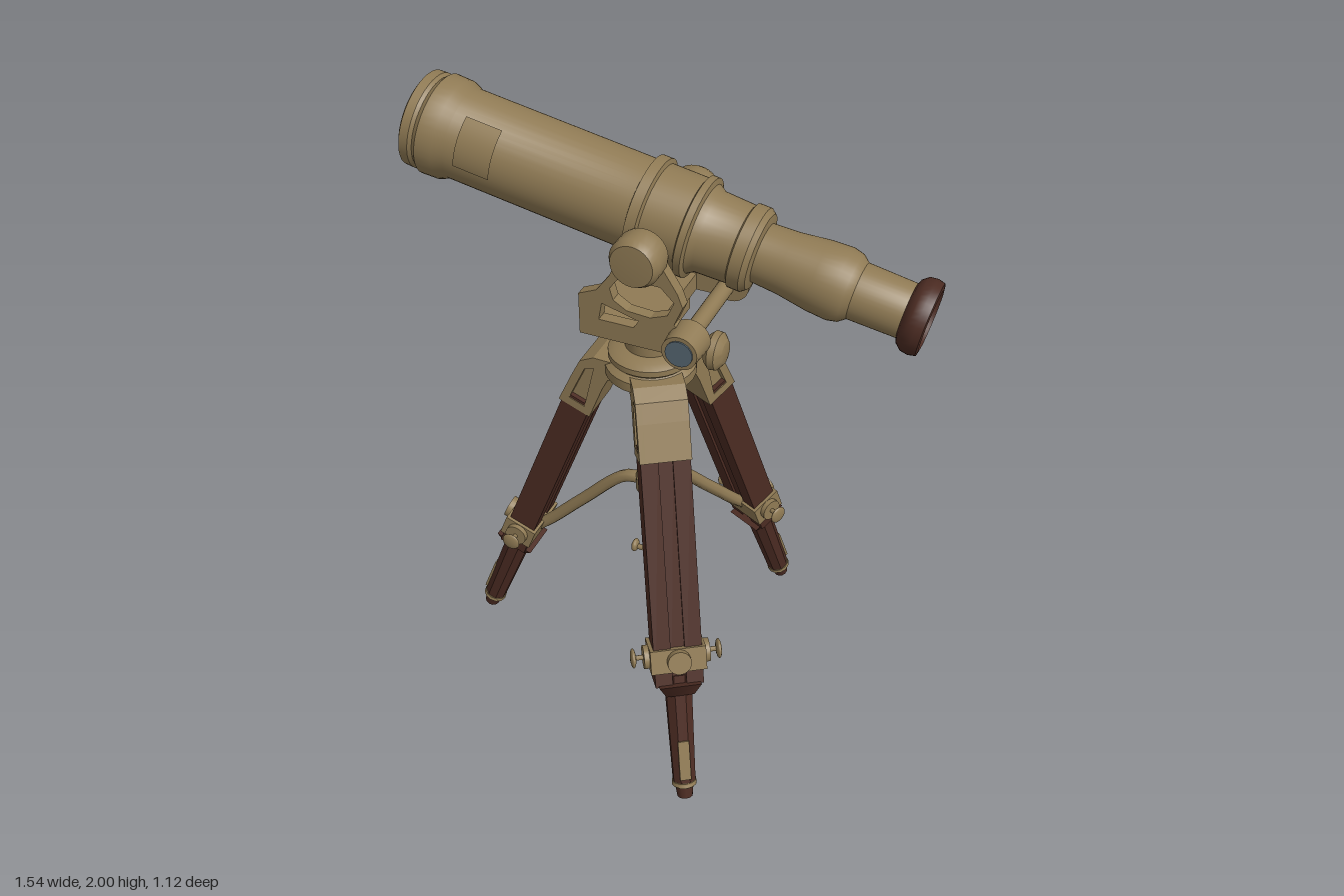
import * as THREE from 'three';
import { toCreasedNormals } from 'three/addons/utils/BufferGeometryUtils.js';

const makeMaterial = (name, color) => {
  const m = new THREE.MeshStandardMaterial({ color, side: THREE.DoubleSide });
  m.name = name;
  return m;
};

export function createModel() {
  const brass = makeMaterial('brass', 0x8f7a54);
  const wood = makeMaterial('dark wood', 0x4b2b22);
  const glass = makeMaterial('blue grey glass', 0x566672);
  const model = new THREE.Group();
  model.name = 'telescopeOnTripod';

  const add = (parent, name, geo, mat, x = 0, y = 0, z = 0) => {
    const mesh = new THREE.Mesh(geo, mat);
    mesh.name = name;
    mesh.position.set(x, y, z);
    parent.add(mesh);
    return mesh;
  };
  const group = (parent, name, x = 0, y = 0, z = 0) => {
    const g = new THREE.Group();
    g.name = name;
    g.position.set(x, y, z);
    parent.add(g);
    return g;
  };
  const box = (w, h, d) => new THREE.BoxGeometry(w, h, d);
  const cyl = (r1, r2, h, n = 24) => new THREE.CylinderGeometry(r1, r2, h, n);
  const lathe = (pts, n = 40) => toCreasedNormals(
    new THREE.LatheGeometry(pts.map(([r, y]) => new THREE.Vector2(r, y)), n), 0.6);
  const outline = (pts) => pts.map(([x, y]) => new THREE.Vector2(x, y));
  // plate cut from an outline with holes, centred on its thickness
  const plate = (shape, depth) => new THREE.ExtrudeGeometry(shape,
    { depth, bevelEnabled: false, curveSegments: 16 }).translate(0, 0, -depth / 2);

  // ---- Telescope, built along +y and tipped towards +x ----
  const scope = group(model, 'telescope', 0, 1.722, 0);
  scope.rotation.z = -(Math.PI / 2 + 0.19);
  add(scope, 'mainTube', lathe([
    [0.108, -0.68], [0.112, -0.752], [0.125, -0.76], [0.139, -0.752], [0.14, -0.725],
    [0.133, -0.715], [0.146, -0.7], [0.144, -0.65], [0.131, -0.62], [0.131, -0.07],
    [0.147, -0.065], [0.147, -0.035], [0.134, -0.03], [0.134, 0.08], [0.144, 0.085],
    [0.144, 0.105], [0.128, 0.11], [0.116, 0.13], [0.112, 0.225],
    [0.12, 0.23], [0.12, 0.265], [0.108, 0.28],
  ]), brass);
  add(scope, 'drawTube', lathe([
    [0.108, 0.28], [0.084, 0.285], [0.088, 0.36], [0.1, 0.45], [0.103, 0.51], [0.096, 0.54],
    [0.08, 0.56], [0.077, 0.72], [0.066, 0.745], [0.06, 0.66], [0.045, 0.65], [0.0, 0.65],
  ]), brass);
  add(scope, 'eyepieceRing', lathe([
    [0.077, 0.7], [0.09, 0.705], [0.104, 0.722], [0.107, 0.745], [0.102, 0.765],
    [0.085, 0.768], [0.072, 0.745], [0.066, 0.72],
  ]), wood);
  add(scope, 'objectiveLens', cyl(0.112, 0.112, 0.008, 40), glass, 0, -0.69, 0);
  // thin raised cover on the side of the tube
  add(scope, 'tubeCover', new THREE.CylinderGeometry(0.135, 0.135, 0.11, 16, 1, true,
    -0.95, 1.1), brass, 0, -0.53, 0);

  // ---- Fork mount ----
  const mount = group(model, 'forkMount');
  const forkShape = new THREE.Shape(outline([
    [-0.185, 1.4], [0.12, 1.4], [0.15, 1.45], [0.1, 1.5], [0.125, 1.56], [0.11, 1.6],
    [0.06, 1.68], [0.04, 1.74], [-0.04, 1.74], [-0.06, 1.68], [-0.09, 1.61],
    [-0.13, 1.555], [-0.185, 1.53],
  ]));
  forkShape.holes.push(
    new THREE.Path(outline([[-0.09, 1.57], [-0.06, 1.61], [0.06, 1.61], [0.1, 1.57],
      [0.08, 1.525], [0.03, 1.505], [-0.04, 1.51], [-0.08, 1.535]])),
    new THREE.Path(outline([[-0.125, 1.46], [-0.115, 1.515], [-0.005, 1.485], [-0.02, 1.46]])));
  const forkGeo = plate(forkShape, 0.035);
  for (const s of [-1, 1]) {
    add(mount, 'forkPlate', forkGeo, brass, 0, 0, s * 0.165);
    const bearing = add(mount, 'bearing', lathe([[0, 0.12], [0.03, 0.12], [0.035, 0.15],
      [0.07, 0.15], [0.074, 0.165], [0.074, 0.215], [0.062, 0.236], [0, 0.24]], 28),
      brass, 0, 1.69, 0);
    bearing.rotation.x = s * Math.PI / 2;
    const knob = add(mount, 'tiltKnob', cyl(0.052, 0.058, 0.085), brass, 0.135, 1.447, s * 0.188);
    knob.rotation.x = s * Math.PI / 2;
    const cap = add(mount, 'tiltKnobCap', cyl(0.04, 0.04, 0.006), glass, 0.135, 1.447, s * 0.232);
    cap.rotation.x = Math.PI / 2;
  }
  add(mount, 'forkBase', box(0.215, 0.055, 0.32), brass, -0.077, 1.4275, 0);
  add(mount, 'tiltShaft', cyl(0.025, 0.025, 0.32).rotateX(Math.PI / 2), brass, 0.12, 1.43, 0);
  add(mount, 'forkBlock', box(0.16, 0.05, 0.23), brass, -0.055, 1.38, 0);
  add(mount, 'panKnob', lathe([[0, 0], [0.022, 0], [0.022, 0.12], [0.045, 0.13], [0.058, 0.145],
    [0.056, 0.165], [0.035, 0.182], [0, 0.185]], 24).rotateZ(-Math.PI / 2), brass, 0, 1.313, 0);

  // ---- Tripod head and centre column ----
  const tripod = group(model, 'tripod', -0.05, 0, 0);
  add(tripod, 'head', lathe([[0, 1.17], [0.1, 1.17], [0.135, 1.195], [0.135, 1.225], [0.115, 1.24],
    [0.125, 1.25], [0.125, 1.268], [0.105, 1.28], [0.075, 1.285], [0.075, 1.4], [0, 1.4]], 32), brass);
  add(tripod, 'centreColumn', lathe([[0, 0.455], [0.022, 0.455], [0.022, 0.735], [0.05, 0.74],
    [0.05, 0.785], [0.043, 0.795], [0.046, 1.1], [0.06, 1.11], [0.06, 1.18]], 24), brass);
  add(tripod, 'columnPin', cyl(0.009, 0.009, 0.12, 10).rotateZ(Math.PI / 2), brass, 0, 0.47, 0);
  for (const s of [-1, 1]) {
    const button = add(tripod, 'columnPinButton', new THREE.SphereGeometry(0.022, 12, 8),
      brass, s * 0.06, 0.473, 0);
    button.scale.x = 0.5;
  }

  // ---- Legs: local +x points outwards ----
  const kneePoints = [[0.06, 1.18], [0.06, 1.235], [0.15, 1.238], [0.195, 1.215], [0.222, 1.16],
    [0.27, 1.055], [0.17, 1.015], [0.125, 1.13], [0.105, 1.17]];
  const cheek = new THREE.Shape(outline(kneePoints));
  cheek.holes.push(new THREE.Path(outline([[0.15, 1.2], [0.18, 1.19], [0.235, 1.07], [0.185, 1.05]])));
  const kneeCore = plate(new THREE.Shape(outline(kneePoints)), 0.115);
  const cheekGeo = plate(cheek, 0.02);
  const railGeo = box(0.09, 0.74, 0.052);

  for (const [dx, dz, reach] of [[-1, 0, 0.615], [0.34, 0.53, 0.62], [0.26, -0.54, 0.6]]) {
    const leg = group(tripod, 'leg');
    leg.rotation.y = Math.atan2(-dz, dx);
    add(leg, 'kneeBracket', kneeCore, brass);
    for (const s of [-1, 1]) add(leg, 'kneeCheek', cheekGeo, brass, 0, 0, s * 0.066);

    // sloping part, running down local -y
    const slope = group(leg, 'slopingLeg', 0.215, 1.05, 0);
    slope.rotation.z = Math.atan((reach - 0.215) / 1.03);
    for (const s of [-1, 1]) add(slope, 'sideRail', railGeo, wood, 0, -0.35, s * 0.047);
    add(slope, 'middleRail', box(0.074, 0.76, 0.05), wood, 0, -0.36, 0);
    add(slope, 'railEnd', cyl(0.09, 0.06, 0.04, 4).rotateY(Math.PI / 4), wood, 0, -0.735, 0);
    add(slope, 'lowerLeg', toCreasedNormals(cyl(0.044, 0.036, 0.38, 8).rotateY(Math.PI / 8), 0.5),
      wood, 0, -0.88, 0);
    add(slope, 'footPlate', box(0.008, 0.13, 0.034), brass, 0.037, -0.975, 0);
    add(slope, 'foot', lathe([[0.036, -1.055], [0.039, -1.07], [0.03, -1.075]].reverse(), 12), brass);
    add(slope, 'footTip', cyl(0.03, 0.024, 0.05, 12), wood, 0, -1.088, 0);
    add(slope, 'footCollar', cyl(0.038, 0.035, 0.018, 12), brass, 0, -1.065, 0);

    // clamp with a thumb screw on each side
    add(slope, 'clampBand', box(0.108, 0.075, 0.168), brass, 0, -0.635, 0);
    add(slope, 'clampBoss', cyl(0.036, 0.036, 0.03, 20).rotateZ(Math.PI / 2), brass, 0.06, -0.635, 0);
    for (const s of [-1, 1]) {
      add(slope, 'clampHub', cyl(0.036, 0.036, 0.02, 20).rotateX(Math.PI / 2), brass, 0, -0.635, s * 0.09);
      add(slope, 'thumbScrewShaft', cyl(0.008, 0.008, 0.05, 8).rotateX(Math.PI / 2),
        brass, 0, -0.635, s * 0.105);
      add(slope, 'thumbScrew', new THREE.SphereGeometry(0.03, 14, 10).scale(1, 1, 0.3),
        brass, 0, -0.635, s * 0.13);
    }

    // brace from the column collar to the clamp
    const brace = new THREE.CatmullRomCurve3([[0.03, 0.765], [0.09, 0.755], [0.24, 0.61], [0.36, 0.485],
      [0.41, 0.44]].map(([x, y]) => new THREE.Vector3(x, y, 0)));
    add(leg, 'brace', new THREE.TubeGeometry(brace, 20, 0.02, 8), brass);
  }
  return model;
}
